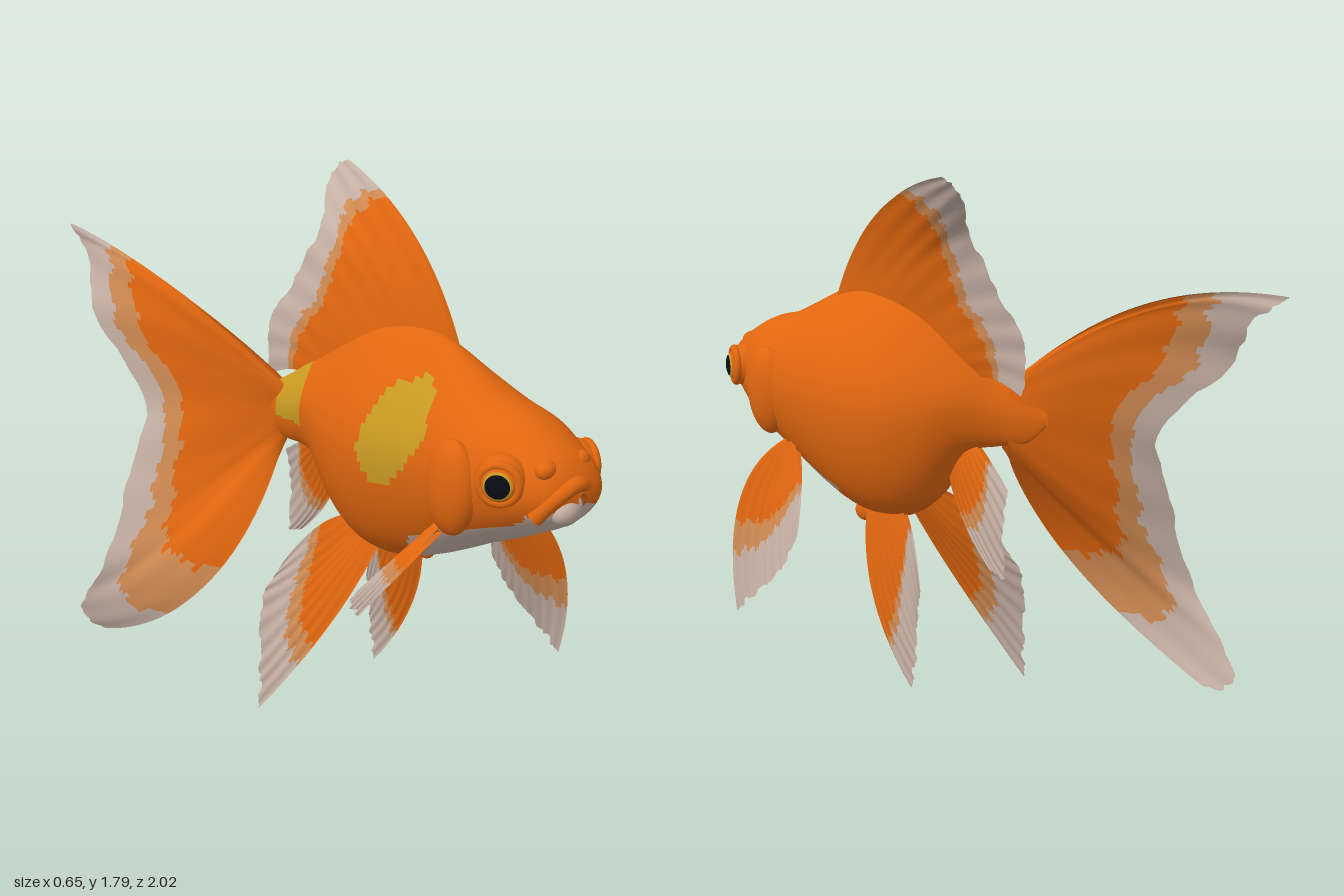
import * as THREE from 'three';

const mat = (name, color) => {
  const m = new THREE.MeshStandardMaterial({ color, side: THREE.DoubleSide });
  m.name = name;
  return m;
};
const orange = mat('orange', 0xe0660f);
const band = mat('pale orange', 0xcf8a52);
const white = mat('pinkish white', 0xc6b0a4);
const gold = mat('gold', 0xc89a22);
const black = mat('black', 0x0c0c14);

const V = (a) => new THREE.Vector3(...a);
const spline = (pts) => new THREE.CatmullRomCurve3(pts.map(V), false, 'catmullrom', 0.5);
const wobble = (a) => Math.sin(a * 31) * 0.5 + Math.sin(a * 73 + 1) * 0.3 + Math.sin(a * 131 + 2) * 0.2;

// Smooth grid surface; zone() picks the material index of each cell
function surface(name, nu, nv, point, zone, mats, closed = false, offset = null) {
  const cols = closed ? nv : nv + 1;
  const pos = [];
  for (let i = 0; i <= nu; i++)
    for (let j = 0; j < cols; j++) pos.push(...point(i / nu, j / nv).toArray());
  const lists = mats.map(() => []);
  for (let i = 0; i < nu; i++)
    for (let j = 0; j < nv; j++) {
      const u = (i + 0.5) / nu, v = (j + 0.5) / nv;
      const a = i * cols + j, c = i * cols + ((j + 1) % cols);
      const b = a + cols, d = c + cols;
      lists[zone(u, v, point(u, v))].push(a, b, c, b, d, c);
    }
  const geo = new THREE.BufferGeometry();
  geo.setAttribute('position', new THREE.Float32BufferAttribute(pos, 3));
  geo.setIndex(lists.flat());
  let start = 0;
  lists.forEach((l, k) => { if (l.length) geo.addGroup(start, l.length, k); start += l.length; });
  geo.computeVertexNormals();
  if (offset) {
    const p = geo.attributes.position, n = geo.attributes.normal;
    for (let k = 0; k < p.count; k++) {
      const d = offset(Math.floor(k / cols) / nu, (k % cols) / nv);
      p.setXYZ(k, p.getX(k) + n.getX(k) * d, p.getY(k) + n.getY(k) * d, p.getZ(k) + n.getZ(k) * d);
    }
    geo.computeVertexNormals();
  }
  const mesh = new THREE.Mesh(geo, mats);
  mesh.name = name;
  return mesh;
}

// Fin from rays: [base, middle, tip, end of orange, start of white]
function fin(name, rays, thick = 0.016) {
  const [base, mid, tip] = [0, 1, 2].map((k) => spline(rays.map((r) => r[k])));
  const limits = spline(rays.map((r) => [r[3], r[4], 0]));
  const point = (u, v) => {
    const t = u * (1 + 0.025 * wobble(v * 0.9));
    return base.getPoint(v).multiplyScalar((1 - t) * (1 - 2 * t))
      .addScaledVector(mid.getPoint(v), 4 * t * (1 - t))
      .addScaledVector(tip.getPoint(v), t * (2 * t - 1));
  };
  const zone = (u, v) => {
    const l = limits.getPoint(v), s = u + 0.03 * wobble(v * 1.7);
    return s < l.x ? 0 : s < l.y ? 1 : 2;
  };
  const group = new THREE.Group();
  group.name = name;
  // two sheets that taper towards the outer edge, with fine ribs
  for (const s of [1, -1])
    group.add(surface(name + 'Sheet', 40, 56, point, zone, [orange, band, white], false,
      (u, v) => s * (thick * (1 - u * u) * Math.sqrt(Math.sin(Math.PI * (0.06 + 0.88 * v))) + 0.002)
        + 0.0025 * u * Math.sin(v * 55)));
  return group;
}

function ball(name, material, p, r) {
  const m = new THREE.Mesh(new THREE.SphereGeometry(1, 28, 18), material);
  m.name = name;
  m.position.set(...p);
  m.scale.set(...r);
  return m;
}

// Body: stations of centre x, top, bottom, half width, z
function body() {
  const st = [
    [-0.095, 1.06, 1.02, 0.015, 0.99], [-0.093, 1.10, 0.98, 0.08, 0.975], [-0.085, 1.15, 0.94, 0.115, 0.94],
    [-0.07, 1.19, 0.90, 0.14, 0.88], [-0.045, 1.23, 0.85, 0.165, 0.8], [-0.02, 1.26, 0.795, 0.185, 0.7],
    [0.005, 1.31, 0.735, 0.2, 0.6], [0.03, 1.36, 0.68, 0.212, 0.5], [0.045, 1.39, 0.64, 0.222, 0.4],
    [0.05, 1.385, 0.625, 0.22, 0.3], [0.055, 1.355, 0.645, 0.2, 0.2], [0.055, 1.295, 0.725, 0.155, 0.1],
    [0.045, 1.215, 0.885, 0.095, 0], [0.02, 1.14, 0.92, 0.048, -0.1], [0, 1.09, 0.94, 0.018, -0.19],
    [-0.015, 1.04, 1.0, 0.004, -0.25]];
  const a = spline(st.map((s) => [s[0], s[1], s[4]]));
  const b = spline(st.map((s) => [s[2], s[3], 0]));
  const angle = (v) => v * Math.PI * 2 - Math.PI / 2;
  const point = (u, v) => {
    const A = a.getPoint(u), B = b.getPoint(u), s = Math.sin(angle(v));
    // the back narrows to a ridge, the head stays round and is turned slightly to one side
    const head = THREE.MathUtils.smoothstep(A.z, 0.4, 0.8);
    const ridge = s > 0 ? 1 - 0.6 * (1 - head) * s * s : 1;
    const dx = B.y * Math.cos(angle(v)) * ridge;
    return V([A.x + dx, (A.y + B.x) / 2 + (A.y - B.x) / 2 * s, A.z + 0.38 * head * dx]);
  };
  const zone = (u, v, p) => {
    const s = Math.sin(angle(v)), c = Math.cos(angle(v)), n = wobble(v * 2 + u);
    const limit = (p.z > 0.86 ? -0.5 : -0.7) - 0.1 * c;
    if (p.z > 0.43 + 0.03 * n && s < limit + 0.04 * n) return 1;
    const dz = (p.z - 0.4 - (p.y - 1.12) * 0.3) / 0.105, dy = (p.y - 1.12) / 0.16;
    if (c < 0 && dz * dz + dy * dy < 1 + 0.15 * n) return 2;
    if (c < 0.2 && p.z < -0.01 && p.z > -0.12 && p.y > 1.01 + 0.01 * n) return 2;
    return 0;
  };
  return surface('body', 110, 80, point, zone, [orange, white, gold], true);
}

// Eye: bulging socket, thin gold iris and black pupil facing dir
function eye(name, p, dir) {
  const g = new THREE.Group();
  g.name = name;
  g.position.set(...p);
  g.quaternion.setFromUnitVectors(V([0, 1, 0]), V(dir).normalize());
  const cap = (part, m, r, angle) => {
    const c = new THREE.Mesh(new THREE.SphereGeometry(r, 28, 14, 0, Math.PI * 2, 0, angle), m);
    c.name = part;
    g.add(c);
  };
  cap('socket', orange, 0.076, Math.PI);
  cap('iris', gold, 0.0775, 0.58);
  cap('pupil', black, 0.079, 0.47);
  const lid = new THREE.Mesh(new THREE.TorusGeometry(0.056, 0.014, 10, 32), orange);
  lid.name = 'eyelid';
  lid.rotation.x = Math.PI / 2;
  lid.position.y = 0.047;
  g.add(lid);
  return g;
}

export function createModel() {
  const fish = new THREE.Group();
  fish.name = 'goldfish';
  fish.add(body());

  // Head details
  fish.add(eye('leftEye', [0.066, 1.065, 0.88], [0.75, 0.02, 0.62]));
  fish.add(eye('rightEye', [-0.187, 1.085, 0.785], [-0.95, 0.06, 0.28]));
  const gills = [['leftGillCover', 0.14, 0.735], ['rightGillCover', -0.178, 0.62]];
  for (const [name, x, z] of gills) {
    const g = ball(name, orange, [x, 1.01, z], [0.058, 0.15, 0.09]);
    g.rotation.y = -0.25;
    fish.add(g);
  }
  const lip = new THREE.Mesh(new THREE.TubeGeometry(spline([[-0.19, 0.99, 0.89], [-0.165, 1.05, 0.935],
    [-0.11, 1.085, 0.97], [-0.055, 1.06, 0.972], [-0.02, 0.99, 0.945]]), 32, 0.024, 12), orange);
  lip.name = 'upperLip';
  fish.add(lip);
  fish.add(ball('lowerLip', white, [-0.11, 1.005, 0.95], [0.065, 0.045, 0.04]));
  fish.add(ball('leftNostril', orange, [-0.03, 1.125, 0.94], [0.04, 0.03, 0.03]));
  fish.add(ball('rightNostril', orange, [-0.145, 1.125, 0.895], [0.04, 0.03, 0.03]));
  fish.add(ball('vent', orange, [0.09, 0.63, 0.385], [0.02, 0.035, 0.035]));

  fish.add(fin('dorsalFin', [
    [[0.05, 1.33, 0.5], [0.11, 1.63, 0.3], [0.27, 1.79, -0.04], 0.74, 0.78],
    [[0.05, 1.35, 0.4], [0.11, 1.58, 0.17], [0.26, 1.75, -0.1], 0.7, 0.78],
    [[0.05, 1.33, 0.28], [0.09, 1.5, 0.11], [0.13, 1.6, -0.06], 0.7, 0.78],
    [[0.05, 1.28, 0.15], [0.07, 1.38, 0.03], [0.09, 1.43, -0.13], 0.58, 0.68],
    [[0.05, 1.2, 0.05], [0.06, 1.26, -0.07], [0.07, 1.27, -0.215], 0.52, 0.64],
    [[0.04, 1.14, -0.02], [0.05, 1.15, -0.1], [0.06, 1.11, -0.2], 0.5, 0.6]], 0.024));

  fish.add(fin('tailFin', [
    [[0.02, 1.1, -0.1], [-0.08, 1.39, -0.5], [0, 1.5, -1], 0.68, 0.78],
    [[0.02, 1.09, -0.1], [-0.09, 1.36, -0.5], [-0.03, 1.42, -0.91], 0.7, 0.82],
    [[0.02, 1.07, -0.1], [-0.1, 1.22, -0.45], [-0.12, 1.24, -0.79], 0.7, 0.86],
    [[0.02, 1.03, -0.12], [-0.09, 1.03, -0.35], [-0.15, 0.98, -0.57], 0.68, 0.82],
    [[0.02, 0.99, -0.12], [-0.14, 0.8, -0.36], [-0.24, 0.72, -0.59], 0.64, 0.78],
    [[0.02, 0.96, -0.12], [-0.2, 0.63, -0.38], [-0.31, 0.42, -0.65], 0.58, 0.8],
    [[0.02, 0.93, -0.12], [-0.26, 0.5, -0.38], [-0.26, 0.18, -0.83], 0.48, 0.76],
    [[0.02, 0.91, -0.12], [-0.24, 0.45, -0.25], [-0.25, 0.12, -0.72], 0.42, 0.7]], 0.024));

  fish.add(fin('leftPectoralFin', [
    [[0.16, 0.86, 0.65], [0.25, 0.64, 0.79], [0.32, 0.27, 0.77], 0.62, 0.78],
    [[0.16, 0.85, 0.64], [0.24, 0.6, 0.69], [0.32, 0.35, 0.68], 0.54, 0.7],
    [[0.16, 0.85, 0.63], [0.24, 0.63, 0.62], [0.31, 0.45, 0.58], 0.5, 0.62],
    [[0.16, 0.85, 0.61], [0.21, 0.75, 0.56], [0.28, 0.57, 0.53], 0.55, 0.64]]));

  fish.add(fin('rightPectoralFin', [
    [[-0.17, 0.88, 0.6], [-0.27, 0.78, 0.54], [-0.32, 0.58, 0.4], 0.6, 0.72],
    [[-0.17, 0.87, 0.58], [-0.25, 0.76, 0.49], [-0.3, 0.61, 0.36], 0.5, 0.64],
    [[-0.16, 0.85, 0.56], [-0.21, 0.76, 0.49], [-0.26, 0.67, 0.4], 0.5, 0.62]]));

  fish.add(fin('leftPelvicFin', [
    [[0.11, 0.68, 0.35], [0.17, 0.38, 0.3], [0.19, 0.08, 0.14], 0.76, 0.8],
    [[0.11, 0.68, 0.31], [0.16, 0.42, 0.24], [0.19, 0.2, 0.12], 0.66, 0.74],
    [[0.11, 0.68, 0.27], [0.15, 0.5, 0.19], [0.18, 0.3, 0.12], 0.54, 0.58],
    [[0.11, 0.68, 0.22], [0.13, 0.6, 0.17], [0.16, 0.42, 0.12], 0.4, 0.44]]));

  fish.add(fin('rightPelvicFin', [
    [[0, 0.69, 0.28], [-0.11, 0.38, 0.16], [-0.2, 0.01, -0.07], 0.65, 0.75],
    [[0, 0.69, 0.24], [-0.1, 0.42, 0.08], [-0.18, 0.18, -0.08], 0.6, 0.74],
    [[0, 0.7, 0.2], [-0.07, 0.52, 0.05], [-0.15, 0.4, -0.09], 0.5, 0.64],
    [[0, 0.72, 0.15], [-0.04, 0.66, 0.05], [-0.1, 0.53, -0.04], 0.42, 0.55]]));

  fish.add(fin('analFin', [
    [[0.05, 0.92, 0.08], [0.08, 0.72, 0.02], [0.12, 0.54, -0.12], 0.58, 0.68],
    [[0.05, 0.93, 0.05], [0.09, 0.72, -0.04], [0.13, 0.53, -0.18], 0.52, 0.64],
    [[0.05, 0.93, 0.02], [0.09, 0.8, -0.08], [0.14, 0.68, -0.18], 0.55, 0.64],
    [[0.04, 0.93, -0.02], [0.08, 0.89, -0.09], [0.13, 0.82, -0.19], 0.5, 0.58]]));

  return fish;
}
